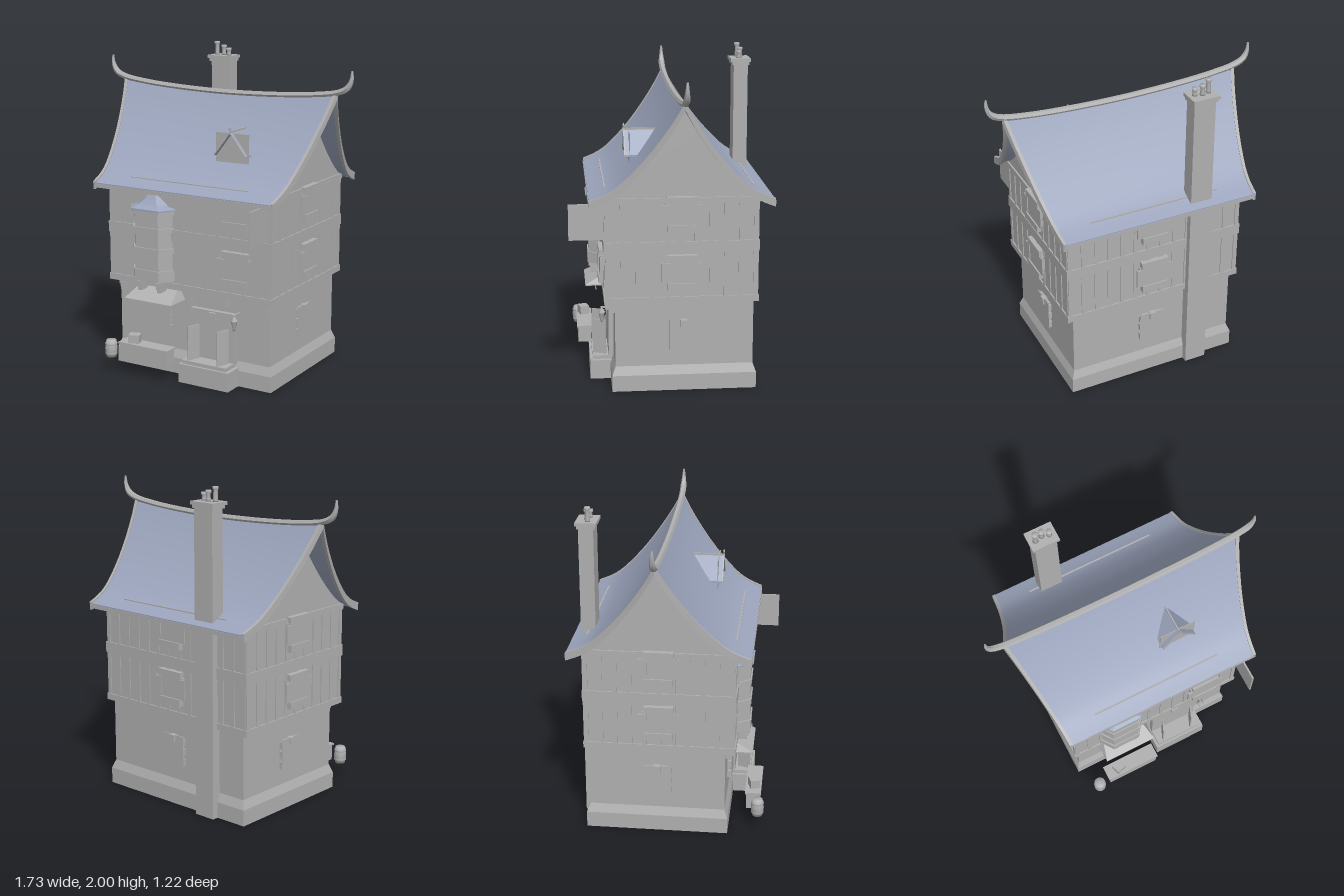
import * as THREE from 'three';
import { toCreasedNormals } from 'three/addons/utils/BufferGeometryUtils.js';

const stone = new THREE.MeshStandardMaterial({ color: 0xb0b0b0, side: THREE.DoubleSide });
stone.name = 'plain grey';
const slate = new THREE.MeshStandardMaterial({ color: 0x9ca5bd, side: THREE.DoubleSide });
slate.name = 'slate blue';

const ZC = -0.057; // ridge line depth
const X = 0.575, ZF = 0.395, ZB = -0.51; // upper storey walls

function add(parent, name, geo, mat = stone) {
  const m = new THREE.Mesh(geo, mat);
  m.name = name;
  parent.add(m);
  return m;
}

// Box given by its limits
function box(parent, name, x0, x1, y0, y1, z0, z1, mat) {
  const g = new THREE.BoxGeometry(x1 - x0, y1 - y0, z1 - z0);
  g.translate((x0 + x1) / 2, (y0 + y1) / 2, (z0 + z1) / 2);
  return add(parent, name, g, mat);
}

// Turned part from a radius and height profile
function lathe(parent, name, points, sides, x, y, z) {
  const m = add(parent, name, new THREE.LatheGeometry(points.map(p => new THREE.Vector2(...p)), sides));
  m.position.set(x, y, z);
}

// Skin over closed rings of equal length, capped at both ends
function loft(rings) {
  const n = rings[0].length, idx = [];
  for (let r = 0; r < rings.length - 1; r++) {
    for (let i = 0; i < n; i++) {
      const a = r * n + i, b = r * n + (i + 1) % n;
      idx.push(a, b, b + n, a, b + n, a + n);
    }
  }
  const last = (rings.length - 1) * n;
  for (let i = 1; i < n - 1; i++) idx.push(0, i + 1, i, last, last + i, last + i + 1);
  const g = new THREE.BufferGeometry();
  g.setAttribute('position', new THREE.Float32BufferAttribute(rings.flat(2), 3));
  g.setIndex(idx);
  return toCreasedNormals(g, 0.3);
}

const rect = (x0, x1, y, z0, z1) => [[x0, y, z1], [x1, y, z1], [x1, y, z0], [x0, y, z0]];

// Concave roof profile from ridge to eave: distance from ridge, height
const half = new THREE.SplineCurve([[0, 1.768], [0.088, 1.62], [0.223, 1.44], [0.358, 1.3], [0.448, 1.235], [0.546, 1.195]]
  .map(([d, y]) => new THREE.Vector2(d, y))).getPoints(14);
const profile = [...half.slice(1).reverse().map(p => [ZC + p.x, p.y]), ...half.map(p => [ZC - p.x, p.y])];

// Slab of roof between two fractions of its half width
function roofSlab(u0, u1, lift, thick, steps) {
  return loft(profile.map(([z, y]) => {
    const w = (y - 1.195) / 0.573, top = [], under = [];
    for (let i = 0; i <= steps; i++) {
      const u = u0 + (u1 - u0) * i / steps;
      const x = u * (0.636 + 0.13 * w), yy = y + w * (0.042 * u * u - 0.02) + lift;
      top.push([x, yy, z]);
      under.unshift([x, yy - thick, z]);
    }
    return [...top, ...under];
  }));
}

// Casement window facing +z, origin on the wall at the middle of the pane
function casement(parent, name, x, y, z, turn) {
  const g = new THREE.Group();
  g.name = name;
  box(g, 'frame', -0.1, 0.1, -0.06, 0.07, -0.01, 0.022);
  box(g, 'pane', -0.122, 0.122, -0.062, 0.063, 0.022, 0.028);
  box(g, 'lintel', -0.09, 0.09, 0.063, 0.108, -0.01, 0.034);
  box(g, 'sill', -0.085, 0.085, -0.107, -0.062, -0.01, 0.037);
  box(g, 'shutter', -0.122, -0.07, -0.05, 0.06, 0.028, 0.034);
  g.position.set(x, y, z);
  g.rotation.y = turn;
  parent.add(g);
}

// Small ground floor window: quoins and keystone around a thin pane
function stoneWindow(parent, name, x, y, z, turn) {
  const g = new THREE.Group();
  g.name = name;
  box(g, 'pane', -0.086, 0.086, -0.097, 0.097, 0.018, 0.022);
  box(g, 'keystone', -0.02, 0.02, 0.052, 0.097, 0, 0.032);
  for (const s of [-1, 1]) for (const q of [-0.068, 0, 0.06])
    box(g, 'quoin', s * 0.072 - 0.013, s * 0.072 + 0.013, q - 0.022, q + 0.022, -0.01, 0.018);
  box(g, 'surround', -0.07, 0.07, -0.09, 0.09, -0.01, 0.012);
  g.position.set(x, y, z);
  g.rotation.y = turn;
  parent.add(g);
}

export function createModel() {
  const house = new THREE.Group();
  house.name = 'timberHouse';

  // Ground floor with sloped plinth, jettied upper storeys
  add(house, 'groundFloor', loft([rect(-0.562, 0.562, 0, -0.515, 0.36), rect(-0.562, 0.562, 0.1, -0.515, 0.36),
    rect(-0.542, 0.542, 0.155, -0.495, 0.34), rect(-0.542, 0.542, 0.57, -0.495, 0.34)]));
  box(house, 'upperWalls', -X, X, 0.565, 1.2, ZB, ZF);
  for (const [y0, y1] of [[0.56, 0.6], [0.87, 0.94], [1.17, 1.205]])
    box(house, 'beam', -X - 0.01, X + 0.01, y0, y1, ZB - 0.01, ZF + 0.01);
  box(house, 'frontWallPlate', -0.42, 0.42, 1.19, 1.238, 0.385, 0.395);
  box(house, 'backWallPlate', -0.42, 0.42, 1.19, 1.238, -0.512, -0.502);

  // Studs on all four walls
  for (const [y0, y1] of [[0.59, 0.88], [0.93, 1.18]]) {
    for (let i = 0; i <= 13; i++) {
      const x = -X + 0.012 + (2 * X - 0.024) * i / 13;
      box(house, 'stud', x - 0.013, x + 0.013, y0, y1, ZB - 0.007, ZF + 0.007);
    }
    for (let i = 0; i <= 10; i++) {
      const z = ZB + 0.012 + (ZF - ZB - 0.024) * i / 10;
      box(house, 'stud', -X - 0.007, X + 0.007, y0, y1, z - 0.013, z + 0.013);
    }
  }

  // Gable walls
  const gable = new THREE.Shape([...profile.filter(p => Math.abs(p[0] - ZC) < 0.455)
    .map(([z, y]) => new THREE.Vector2(z, y - 0.025)), new THREE.Vector2(ZB, 1.18), new THREE.Vector2(ZF, 1.18)]);
  for (const x of [X, -X + 0.02]) {
    const m = add(house, 'gable', new THREE.ExtrudeGeometry(gable, { depth: 0.02, bevelEnabled: false }));
    m.rotation.y = -Math.PI / 2;
    m.position.x = x;
  }

  // Roof, verge boards, eave boards and curled ridge
  add(house, 'roof', roofSlab(-0.99, 0.99, 0, 0.03, 24), slate);
  for (const s of [-1, 1]) {
    add(house, 'vergeBoard', roofSlab(s * 0.97, s, 0.008, 0.05, 1));
    const z = ZC + s * 0.546;
    box(house, 'eaveBoard', -0.625, 0.625, 1.165, 1.188, z - 0.003, z + 0.003);
  }
  const end = [[0.4, 1.749], [0.62, 1.766], [0.77, 1.79], [0.83, 1.82], [0.855, 1.868], [0.858, 1.922]];
  const path = new THREE.CatmullRomCurve3([...end.slice().reverse().map(([x, y]) => [-x, y]), [0, 1.738], ...end]
    .map(([x, y]) => new THREE.Vector3(x, y, ZC)));
  const ridge = new THREE.TubeGeometry(path, 90, 0.02, 6);
  const pos = ridge.attributes.position, v = new THREE.Vector3();
  for (let i = 0; i < pos.count; i++) {
    const t = Math.floor(i / 7) / 90, c = path.getPointAt(t);
    const k = Math.min(1, 0.3 + Math.min(t, 1 - t) * 12);
    v.fromBufferAttribute(pos, i).sub(c).multiplyScalar(k).add(c);
    pos.setXYZ(i, v.x, v.y, v.z);
  }
  add(house, 'ridge', toCreasedNormals(ridge, 0.5));

  // Chimney with cap and pots
  box(house, 'chimney', -0.355, -0.215, 0, 1.88, -0.555, -0.465);
  box(house, 'chimneyCollar', -0.364, -0.208, 1.872, 1.892, -0.563, -0.454);
  box(house, 'chimneyCap', -0.374, -0.202, 1.892, 1.912, -0.573, -0.445);
  for (const [x, y, z] of [[-0.332, 2, -0.5], [-0.288, 1.976, -0.512], [-0.244, 1.96, -0.5]]) {
    const h = y - 1.91;
    lathe(house, 'chimneyPot', [[0, 0], [0.018, 0], [0.014, 0.012], [0.013, h - 0.02],
      [0.018, h - 0.015], [0.018, h], [0, h]], 12, x, 1.91, z);
  }

  // Dormer
  const dormer = new THREE.Group();
  dormer.name = 'dormer';
  house.add(dormer);
  box(dormer, 'dormerFront', 0.1, 0.33, 1.36, 1.54, 0.23, 0.234);
  for (const s of [-1, 1]) {
    const slope = (z, d) => [[0.215, 1.55 + d, z], [0.215 + s * 0.108, 1.41 + d, z], [0.215 + s * 0.108, 1.4 + d, z], [0.215, 1.54 + d, z]];
    add(dormer, 'dormerRoof', loft([slope(0.26, 0), slope(0.07, 0)]), slate);
    add(dormer, 'bargeBoard', loft([slope(0.266, 0.002), slope(0.258, 0.002)]));
  }
  box(dormer, 'dormerRidge', 0.211, 0.219, 1.54, 1.556, 0.07, 0.268);
  lathe(dormer, 'finial', [[0, 0], [0.003, 0], [0.003, 0.018], [0.007, 0.024], [0.006, 0.032], [0, 0.045]], 8, 0.215, 1.545, 0.263);

  // Oriel window with concave hood
  const plan = (s, y) => [[-0.155, 0.37], [-0.155, 0.39], [-0.09, 0.48], [0.09, 0.48], [0.155, 0.39], [0.155, 0.37]]
    .map(([x, z]) => [-0.252 + x * s, y, 0.38 + (z - 0.38) * s]);
  add(house, 'oriel', loft([plan(0.93, 0.61), plan(0.93, 1.06)]));
  for (const [y0, y1] of [[0.61, 0.68], [0.79, 0.82], [0.92, 0.95], [1.03, 1.06]])
    add(house, 'orielBand', loft([plan(1, y0), plan(1, y1)]));
  add(house, 'orielHood', loft([plan(1.1, 1.055), plan(1.1, 1.065), plan(0.75, 1.085), plan(0.45, 1.12), plan(0.22, 1.165)]), slate);

  // Stepped brackets under the jetty and the oriel
  for (const [x, z] of [[-0.505, 0.395], [-0.318, 0.475], [-0.178, 0.475], [0, 0.395], [0.25, 0.395], [0.53, 0.395]]) {
    const y = z > 0.4 ? 0.605 : 0.56;
    for (let i = 0; i < 3; i++)
      box(house, 'bracket', x - 0.012, x + 0.012, y - 0.022 * (i + 1), y - 0.022 * i, 0.33, z - 0.008 * i);
  }

  // Windows
  const side = Math.PI / 2;
  for (const y of [0.752, 1.105]) {
    casement(house, 'frontWindow', 0.342, y, ZF, 0);
    casement(house, 'backWindow', 0.01, y, ZB, Math.PI);
    casement(house, 'leftWindow', X, y, ZC, side);
    casement(house, 'rightWindow', -X, y, ZC, -side);
  }
  stoneWindow(house, 'frontStoneWindow', -0.24, 0.355, 0.345, 0);
  stoneWindow(house, 'backStoneWindow', 0.01, 0.35, -0.495, Math.PI);
  stoneWindow(house, 'leftStoneWindow', 0.542, 0.35, -0.073, side);
  stoneWindow(house, 'rightStoneWindow', -0.542, 0.35, -0.073, -side);

  // Door, slanted side panels and step
  box(house, 'door', 0, 0.318, 0.14, 0.455, 0.33, 0.37);
  box(house, 'doorKeystone', 0.138, 0.185, 0.4, 0.447, 0.34, 0.385);
  for (const x of [0.053, 0.262]) {
    const panel = box(house, 'doorPanel', -0.004, 0.004, 0.14, 0.362, -0.043, 0.043);
    panel.position.set(x, 0, 0.425);
    panel.rotation.y = -0.39;
  }
  box(house, 'step', -0.018, 0.335, 0, 0.12, 0.33, 0.485);
  box(house, 'stepTop', 0, 0.31, 0.12, 0.143, 0.33, 0.47);

  // Awning over the shop window
  add(house, 'awning', loft([rect(-0.405, -0.06, 0.48, 0.33, 0.5), rect(-0.405, -0.06, 0.487, 0.33, 0.5),
    rect(-0.37, -0.095, 0.555, 0.33, 0.37)]));
  box(house, 'awningValance', -0.365, -0.075, 0.45, 0.485, 0.43, 0.436);

  // Trough, crate and hooped barrel
  box(house, 'trough', -0.41, -0.065, 0.1, 0.2, 0.465, 0.55);
  box(house, 'troughRim', -0.42, -0.055, 0.2, 0.212, 0.458, 0.557);
  const crate = box(house, 'crate', -0.035, 0.035, 0, 0.055, -0.03, 0.03);
  crate.position.set(-0.325, 0.21, 0.51);
  crate.rotation.y = 0.3;
  lathe(house, 'barrel', [[0, 0], [0.031, 0], [0.038, 0.03], [0.04, 0.055], [0.038, 0.08],
    [0.031, 0.11], [0, 0.108]], 16, -0.485, 0.1, 0.54);
  for (const y of [0.125, 0.185])
    lathe(house, 'barrelHoop', [[0.036, -0.005], [0.039, -0.005], [0.039, 0.005], [0.036, 0.005]], 16, -0.485, y, 0.54);

  // Lantern and hanging board
  lathe(house, 'lantern', [[0, 0], [0.008, 0.01], [0.01, 0.02], [0.019, 0.065], [0.024, 0.068],
    [0.01, 0.085], [0.004, 0.1], [0, 0.105]], 6, 0.335, 0.365, 0.412);
  box(house, 'lanternArm', 0.331, 0.339, 0.462, 0.47, 0.33, 0.42);
  box(house, 'hangingBoard', 0.546, 0.557, 0.953, 1.17, 0.395, 0.61);

  return house;
}
